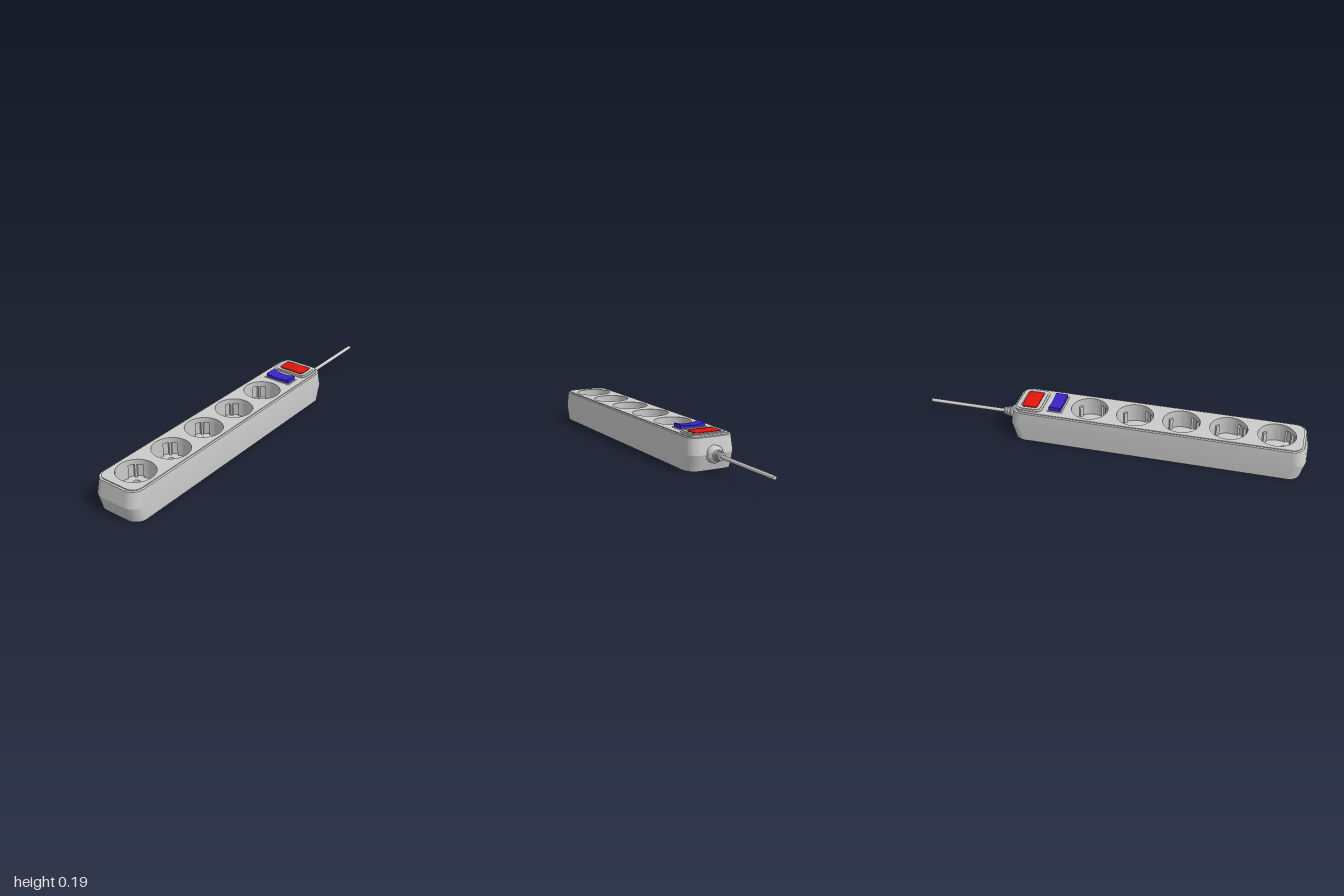
import * as THREE from 'three';
import { toCreasedNormals } from 'three/addons/utils/BufferGeometryUtils.js';

const GREY = 0xcccccc, RED = 0xe5140c, BLUE = 0x3a22c8;
const MID_Z = 0.24;
const SOCKET_R = 0.095;
const SOCKET_Z = [-0.117, 0.123, 0.363, 0.603, 0.843];

function addPart(parent, name, geometry, color = GREY) {
  const mesh = new THREE.Mesh(geometry, new THREE.MeshStandardMaterial({ color }));
  mesh.name = name;
  parent.add(mesh);
  return mesh;
}

// Rounded rectangle, counter-clockwise
function roundRect(hx, hy, r, cy = 0) {
  const s = new THREE.Shape();
  const corners = [[1, -1, -0.5], [1, 1, 0], [-1, 1, 0.5], [-1, -1, 1]];
  for (const [sx, sy, a] of corners) {
    s.absarc(sx * (hx - r), cy + sy * (hy - r), r, a * Math.PI, (a + 0.5) * Math.PI, false);
  }
  s.closePath();
  return s;
}

function circle(r, x = 0, y = 0, Type = THREE.Shape) {
  return new Type().absarc(x, y, r, 0, Math.PI * 2, false);
}

// Horizontal slab between two heights; shape y becomes -z
function slab(shape, y0, y1, bevel = 0) {
  const g = new THREE.ExtrudeGeometry(shape, {
    depth: y1 - y0 - bevel, curveSegments: 24, bevelEnabled: bevel > 0,
    bevelSize: bevel, bevelThickness: bevel, bevelOffset: -bevel, bevelSegments: 2,
  });
  g.rotateX(-Math.PI / 2).translate(0, y0, 0);
  return toCreasedNormals(g, 0.6);
}

// Case walls: rounded rectangles joined from level to level
function caseWalls(levels) {
  const pos = [], idx = [];
  let n = 0;
  for (const [y, hx, hz, r] of levels) {
    const pts = roundRect(hx, hz, r).getPoints(10);
    n = pts.length;
    for (const p of pts) pos.push(p.x, y, MID_Z - p.y);
  }
  for (let k = 0; k < levels.length - 1; k++) {
    for (let i = 0; i < n; i++) {
      const j = (i + 1) % n, a = k * n + i, b = k * n + j;
      idx.push(a, b, b + n, a, b + n, a + n);
    }
  }
  const g = new THREE.BufferGeometry();
  g.setAttribute('position', new THREE.Float32BufferAttribute(pos, 3));
  g.setIndex(idx);
  return toCreasedNormals(g, 0.2);
}

// Socket well outline with a pair of guide slots at each end of the pin axis
function slottedCircle() {
  const pts = [], n = 180;
  for (let i = 0; i < n; i++) {
    const a = (i / n) * Math.PI * 2;
    const d = [-Math.PI / 4, Math.PI * 0.75, Math.PI * 1.75].map((c) => Math.abs(a - c));
    const r = d.some((v) => v > 0.08 && v < 0.34) ? 0.107 : SOCKET_R;
    pts.push(new THREE.Vector2(Math.cos(a) * r, Math.sin(a) * r));
  }
  return new THREE.Path(pts);
}

function createSocket(z) {
  const socket = new THREE.Group();
  socket.name = 'socket';
  socket.position.z = z;

  const sleeve = circle(0.113);
  sleeve.holes.push(slottedCircle());
  addPart(socket, 'socketWall', slab(sleeve, 0.06, 0.143));

  const floor = circle(0.112);
  for (const s of [-1, 1]) floor.holes.push(circle(0.017, s * 0.039, -s * 0.039, THREE.Path));
  addPart(socket, 'socketFloor', slab(floor, 0.03, 0.07));
  addPart(socket, 'pinHoleBottom', slab(circle(0.112), 0.01, 0.03));

  // Earth clips across the pin axis
  for (const s of [-1, 1]) {
    const clip = addPart(socket, 'earthClip', new THREE.BoxGeometry(0.012, 0.06, 0.02));
    clip.position.set(s * 0.064, 0.1, -s * 0.064);
    clip.rotation.y = Math.PI / 4;
  }
  return socket;
}

export function createModel() {
  const model = new THREE.Group();
  model.name = 'powerStrip';

  // Case: upper and lower shells meeting at a widest seam
  addPart(model, 'caseWalls', caseWalls([
    [0, 0.125, 0.738, 0.06],
    [0.082, 0.128, 0.76, 0.06],
    [0.162, 0.123, 0.744, 0.056],
    [0.164, 0.112, 0.733, 0.05],
  ]));
  const base = new THREE.ShapeGeometry(roundRect(0.125, 0.738, 0.06), 10);
  base.rotateX(Math.PI / 2).translate(0, 0, MID_Z);
  addPart(model, 'caseBottom', base);

  // Top deck with round openings
  const deck = roundRect(0.114, 0.735, 0.05, -MID_Z);
  for (const z of SOCKET_Z) deck.holes.push(circle(SOCKET_R, 0, -z, THREE.Path));
  addPart(model, 'topDeck', slab(deck, 0.14, 0.168));
  for (const z of SOCKET_Z) model.add(createSocket(z));

  // Indicator lamp in a stepped frame
  const lampY = 0.422;
  addPart(model, 'lampFrame', slab(roundRect(0.101, 0.07, 0.03, lampY), 0.16, 0.173, 0.002));
  const rim = roundRect(0.09, 0.06, 0.025, lampY);
  rim.holes.push(roundRect(0.076, 0.046, 0.015, lampY));
  addPart(model, 'lampRim', slab(rim, 0.17, 0.176));
  addPart(model, 'lampLens', slab(roundRect(0.07, 0.041, 0.014, lampY), 0.165, 0.179, 0.003), RED);

  // Rocker switch with a dished top
  const collar = roundRect(0.078, 0.04, 0.004, 0.286);
  collar.holes.push(roundRect(0.072, 0.034, 0.002, 0.286));
  addPart(model, 'switchCollar', slab(collar, 0.16, 0.171));
  const profile = new THREE.Shape();
  profile.moveTo(-0.069, 0.165);
  profile.lineTo(0.069, 0.165);
  profile.lineTo(0.069, 0.19);
  profile.quadraticCurveTo(0, 0.171, -0.069, 0.19);
  const rocker = new THREE.ExtrudeGeometry(profile, { depth: 0.063, bevelEnabled: false, curveSegments: 16 });
  rocker.translate(0, 0, -0.318);
  addPart(model, 'rockerSwitch', toCreasedNormals(rocker, 0.5), BLUE);

  // Ribbed strain relief and cable, running backwards
  const cord = new THREE.Group();
  cord.name = 'cord';
  cord.position.set(0, 0.081, -0.5);
  cord.rotation.x = -Math.PI / 2;
  model.add(cord);
  const outline = [
    [0.043, 0], [0.043, 0.028], [0.038, 0.036], [0.026, 0.044], [0.024, 0.05],
    [0.027, 0.051], [0.026, 0.059], [0.02, 0.06], [0.02, 0.064], [0.024, 0.065], [0.023, 0.072],
    [0.018, 0.073], [0.018, 0.077], [0.021, 0.078], [0.019, 0.086], [0, 0.086],
  ].map(([r, y]) => new THREE.Vector2(r, y));
  addPart(cord, 'strainRelief', toCreasedNormals(new THREE.LatheGeometry(outline, 32), 0.6));
  const cable = new THREE.CylinderGeometry(0.0095, 0.0095, 0.44, 20);
  addPart(cord, 'cable', cable.translate(0, 0.28, 0));

  return model;
}
